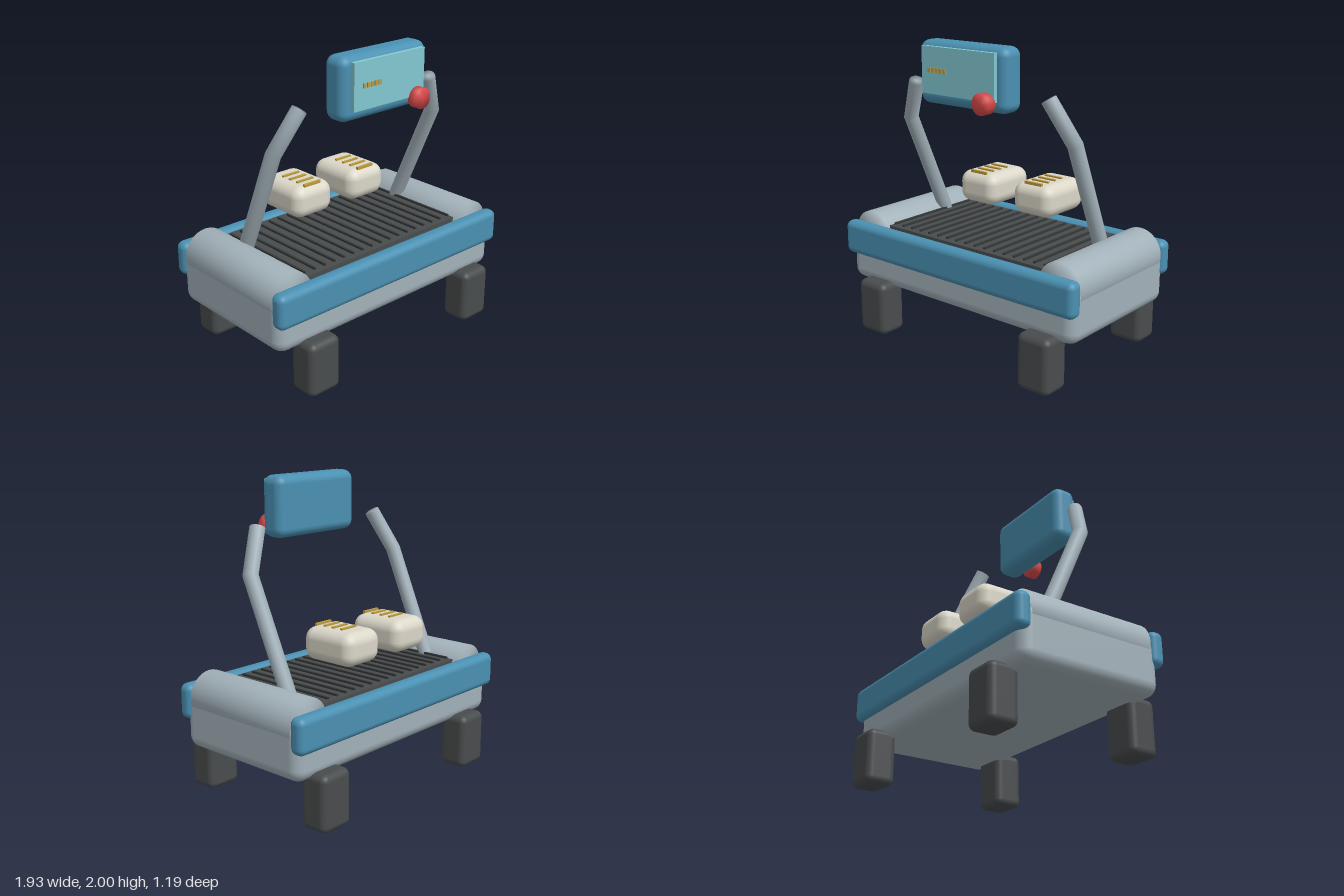
import * as THREE from 'three';
import { mergeVertices } from 'three/addons/utils/BufferGeometryUtils.js';
import { RoundedBoxGeometry } from 'three/addons/geometries/RoundedBoxGeometry.js';

const paint = (name, color) => {
  const m = new THREE.MeshStandardMaterial({ color });
  m.name = name;
  return m;
};

// Join caps and sides so the normals run smoothly over the rims
function weld(geometry) {
  geometry.deleteAttribute('normal');
  geometry.deleteAttribute('uv');
  const g = mergeVertices(geometry, 1e-4);
  g.computeVertexNormals();
  return g;
}

// Round bar through three points, mitred at the bend
function bentBar(points, radius) {
  const g = new THREE.CylinderGeometry(radius, radius, 2, 16, 2);
  const pos = g.attributes.position;
  const dirs = [points[1].clone().sub(points[0]).normalize(), points[2].clone().sub(points[1]).normalize()];
  const mid = dirs[0].clone().add(dirs[1]).normalize();
  const tangents = [dirs[0], mid, dirs[1]];
  const up = new THREE.Vector3(0, 1, 0);
  const v = new THREE.Vector3();
  for (let i = 0; i < pos.count; i++) {
    v.fromBufferAttribute(pos, i);
    const row = Math.round(v.y) + 1;
    v.y = 0;
    v.applyQuaternion(new THREE.Quaternion().setFromUnitVectors(up, tangents[row])).add(points[row]);
    pos.setXYZ(i, v.x, v.y, v.z);
  }
  return weld(g);
}

export function createModel() {
  const model = new THREE.Group();
  model.name = 'treadmill';
  const blue = paint('blue', 0x4a90b2);
  const grey = paint('light grey', 0xa2b1b9);
  const rubber = paint('dark rubber', 0x494c4d);
  const ridgeDark = paint('ridge dark', 0x353839);
  const cream = paint('cream', 0xdbd7c9);
  const gold = paint('gold', 0xbd9c3c);
  const red = paint('red', 0xd94a4a);
  const cyan = paint('screen cyan', 0x82c8d2);

  const add = (name, geometry, material, x, y, z) => {
    const mesh = new THREE.Mesh(geometry, material);
    mesh.name = name;
    mesh.position.set(x, y, z);
    model.add(mesh);
    return mesh;
  };
  const rounded = (w, h, d, r) => new RoundedBoxGeometry(w, h, d, 4, r);
  const drum = (r, length, sides) => weld(new THREE.CylinderGeometry(r, r, length, sides).rotateX(Math.PI / 2));

  // Deck and running belt
  add('deck', rounded(1.9, 0.37, 1.0, 0.08), grey, 0, 0.5, 0);
  add('belt', new THREE.BoxGeometry(1.31, 0.1, 0.82), rubber, 0, 0.675, 0);
  for (let i = -8; i <= 8; i++) {
    add('beltRidge', new THREE.BoxGeometry(0.014, 0.016, 0.75), ridgeDark, i * 0.08, 0.73, 0);
  }

  // Rails along the front and back
  for (const s of [1, -1]) {
    add(s > 0 ? 'frontRail' : 'backRail', rounded(1.93, 0.23, 0.106, 0.045), blue, 0, 0.617, s * 0.487);
  }

  // Feet
  for (const x of [-0.667, 0.717]) {
    for (const z of [-0.497, 0.497]) add('foot', rounded(0.24, 0.365, 0.2, 0.045), rubber, x, 0.1825, z);
  }

  // End rollers and bent handles
  for (const s of [-1, 1]) {
    const side = s > 0 ? 'left' : 'right';
    add(side + 'Roller', drum(0.16, 0.86, 32), grey, s * 0.797, 0.643, 0);
    const path = [[0.677, 0.68, -0.18], [0.685, 1.43, 0.15], [0.545, 1.7, 0.23]];
    add(side + 'Handle', bentBar(path.map(([x, y, z]) => new THREE.Vector3(s * x, y, z)), 0.05), grey, 0, 0, 0);
  }

  // Shoes with lace bars
  for (const s of [-1, 1]) {
    const x = s * 0.233;
    add('shoe', rounded(0.315, 0.215, 0.405, 0.075), cream, x, 0.9725, -0.188);
    for (let i = 0; i < 4; i++) {
      add('lace', new THREE.BoxGeometry(0.135, 0.018, 0.018), gold, x, 1.081, -0.03 - i * 0.071);
    }
  }

  // Console with screen, readout dashes and knob
  add('console', rounded(0.715, 0.4, 0.175, 0.06), blue, -0.003, 1.8, 0.3125);
  add('screen', new THREE.BoxGeometry(0.588, 0.295, 0.03), cyan, -0.002, 1.822, 0.415);
  for (let i = 0; i < 5; i++) {
    add('readoutDash', new THREE.BoxGeometry(0.022, 0.03, 0.006), gold, -0.222 + i * 0.031, 1.826, 0.442);
  }
  add('knob', drum(0.067, 0.062, 32), red, 0.23, 1.667, 0.453);

  return model;
}
